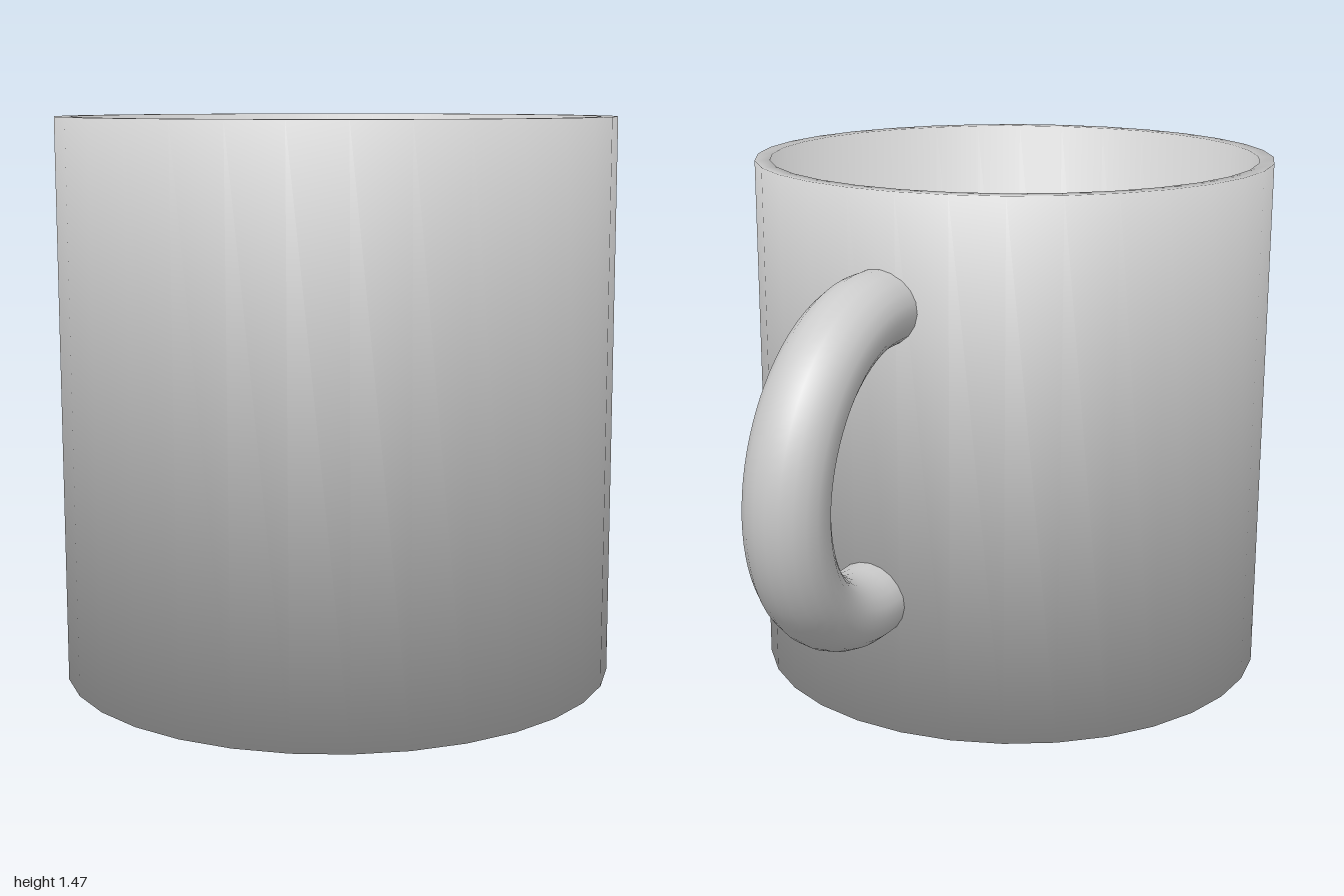
import * as THREE from 'three';

const HEIGHT = 1.47, RADIUS = 0.73, WALL = 0.042;
const BODY_Z = 0.265, HANDLE_Z = -0.497, HANDLE_END = -0.42;
const LOOP_RADIUS = 0.4, TUBE_RADIUS = 0.1;

// Hollow cup: one closed profile turned around y, with normals blended across the corners
function cupGeometry() {
  const inner = RADIUS - WALL;
  // radius, height, normal outwards, normal upwards
  const profile = [
    [0, 0, 0, -1],
    [RADIUS, 0, 1, -1],
    [RADIUS, HEIGHT, 1, 1],
    [inner, HEIGHT, -1, 1],
    [inner, WALL, -1, 1],
    [0, WALL, 0, 1],
  ];
  const sides = 32;
  const geometry = new THREE.LatheGeometry(profile.map(([r, y]) => new THREE.Vector2(r, y)), sides);
  const normal = new THREE.Vector3();
  for (let i = 0; i <= sides; i++) {
    const a = (i / sides) * Math.PI * 2;
    profile.forEach(([, , out, up], j) => {
      normal.set(out * Math.sin(a), up, out * Math.cos(a)).normalize();
      geometry.attributes.normal.setXYZ(i * profile.length + j, normal.x, normal.y, normal.z);
    });
  }
  return geometry;
}

// Centre line of the handle: a half circle with short straight ends running into the wall
class HandleCurve extends THREE.Curve {
  getPoint(t, target = new THREE.Vector3()) {
    const straight = HANDLE_END - HANDLE_Z;
    const arc = Math.PI * LOOP_RADIUS;
    const s = t * (arc + 2 * straight) - straight;
    const a = THREE.MathUtils.clamp(s / LOOP_RADIUS, 0, Math.PI);
    const overshoot = Math.max(-s, s - arc, 0);
    return target.set(0, LOOP_RADIUS * Math.cos(a), overshoot - LOOP_RADIUS * Math.sin(a));
  }
}

export function createModel() {
  const model = new THREE.Group();
  model.name = 'mug';
  const material = new THREE.MeshStandardMaterial({ color: 0xcccccc });

  const cup = new THREE.Mesh(cupGeometry(), material);
  cup.name = 'cup';
  cup.position.z = BODY_Z;
  model.add(cup);

  // Handle at the back, slightly off centre and leaning
  const handle = new THREE.Group();
  handle.name = 'handle';
  handle.position.set(0.073, 0.77, HANDLE_Z);
  handle.rotation.z = 0.055;
  handle.scale.x = 1.1;
  const loop = new THREE.Mesh(new THREE.TubeGeometry(new HandleCurve(), 48, TUBE_RADIUS, 20), material);
  loop.name = 'handleLoop';
  handle.add(loop);
  for (const side of [1, -1]) {
    const end = new THREE.Mesh(new THREE.CircleGeometry(TUBE_RADIUS, 20), material);
    end.name = side > 0 ? 'upperHandleEnd' : 'lowerHandleEnd';
    end.position.set(0, side * LOOP_RADIUS, HANDLE_END - HANDLE_Z);
    handle.add(end);
  }
  model.add(handle);

  return model;
}
